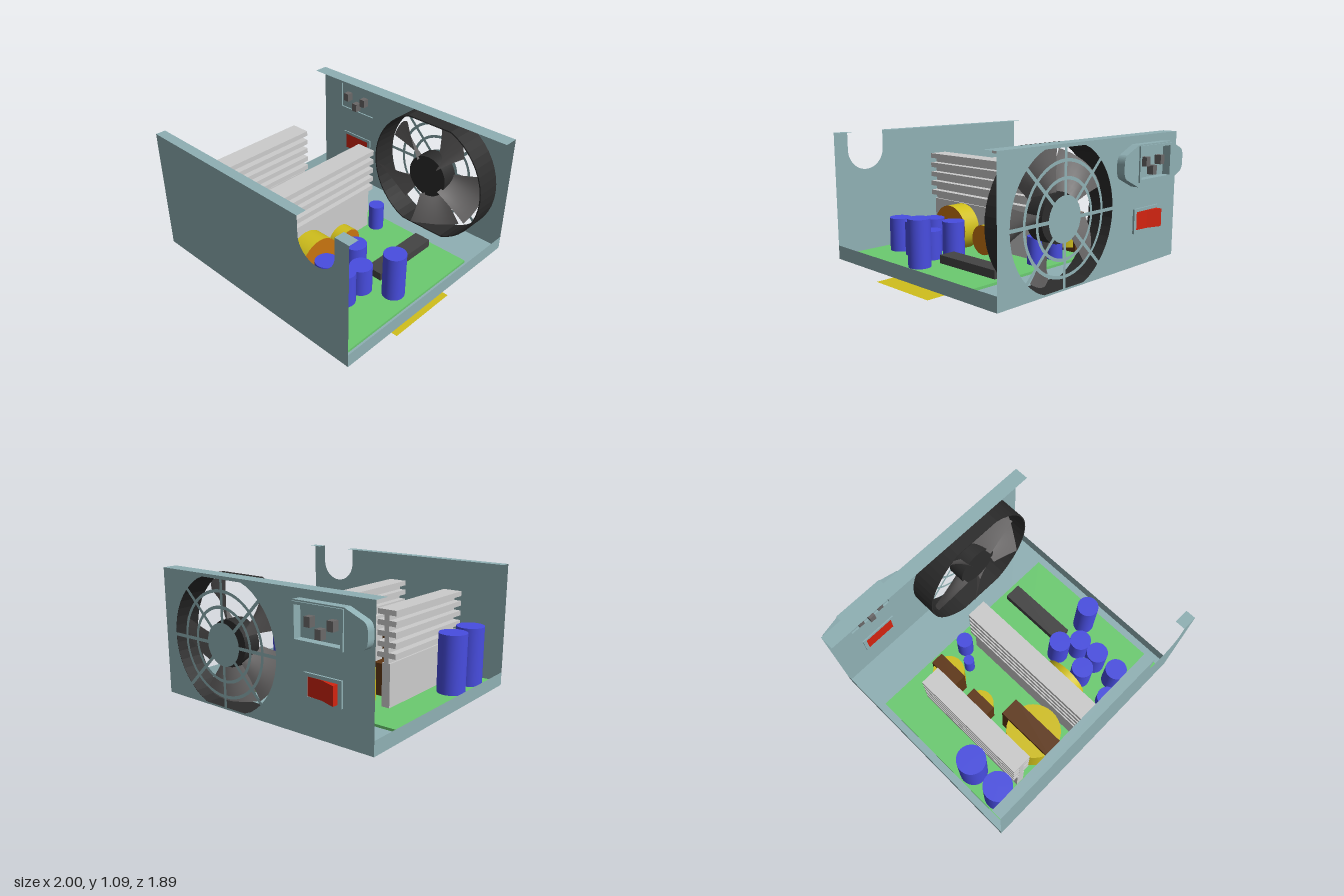
import * as THREE from 'three';

const mat = (color, side = THREE.FrontSide) => new THREE.MeshStandardMaterial({ color, side });
const RAD = Math.PI / 180;

export function createModel() {
  const model = new THREE.Group();
  const sheet = mat(0x8fb0b4, THREE.DoubleSide), green = mat(0x6bcb70), blue = mat(0x484de0);
  const yellow = mat(0xd0bf1c), orange = mat(0xc8740f), brown = mat(0x5e3614), red = mat(0xd42410);
  const black = mat(0x2c2c2c, THREE.DoubleSide), grey = mat(0x6a6868, THREE.DoubleSide);
  const dark = mat(0x444444), silver = mat(0xd9dbdc);

  const add = (name, geometry, material, parent = model) => {
    const mesh = new THREE.Mesh(geometry, material);
    mesh.name = name;
    parent.add(mesh);
    return mesh;
  };
  const group = (name) => {
    const g = new THREE.Group();
    g.name = name;
    model.add(g);
    return g;
  };
  // box from its limits
  const box = (name, x0, x1, y0, y1, z0, z1, m, parent) => {
    const b = add(name, new THREE.BoxGeometry(x1 - x0, y1 - y0, z1 - z0), m, parent);
    b.position.set((x0 + x1) / 2, (y0 + y1) / 2, (z0 + z1) / 2);
    return b;
  };
  // flat horizontal sheet
  const flat = (name, x0, x1, z0, z1, y, m, parent) => {
    const p = add(name, new THREE.PlaneGeometry(x1 - x0, z1 - z0).rotateX(-Math.PI / 2), m, parent);
    p.position.set((x0 + x1) / 2, y, (z0 + z1) / 2);
    return p;
  };
  const poly = (pts, Type = THREE.Shape) => new Type(pts.map((p) => new THREE.Vector2(...p)));
  const rect = (x0, x1, y0, y1) => [[x0, y0], [x1, y0], [x1, y1], [x0, y1]];
  const extrude = (shape, depth, z) =>
    new THREE.ExtrudeGeometry(shape, { depth, bevelEnabled: false, curveSegments: 12 }).translate(0, 0, z);

  // --- folded sheet case ---
  const Z0 = -0.87, Z1 = 0.94, Y0 = 0.08, Y1 = 1.09;
  const box0 = group('case');
  flat('floor', -1, 1, Z0, Z1, Y0, sheet, box0);
  for (const s of [-1, 1]) {
    const rim = add('sideRim', new THREE.PlaneGeometry(Z1 - Z0, 0.11).rotateY(s * Math.PI / 2), sheet, box0);
    rim.position.set(s, 0.135, (Z0 + Z1) / 2);
  }
  // front panel with the rounded cable notch
  const front = new THREE.Shape();
  front.moveTo(-1, Y0).lineTo(1, Y0).lineTo(1, Y1).lineTo(0.88, Y1).lineTo(0.88, 0.945);
  front.absarc(0.715, 0.945, 0.165, 0, Math.PI, true);
  front.lineTo(0.55, Y1).lineTo(-1, Y1);
  add('frontPanel', new THREE.ShapeGeometry(front, 20), sheet, box0).position.z = Z1;
  flat('frontFlange', -1, 0.55, 0.86, Z1, Y1, sheet, box0);
  flat('frontFlangeEnd', 0.88, 1, 0.86, Z1, Y1, sheet, box0);
  flat('backFlange', -1, 1, Z0, -0.75, Y1, sheet, box0);

  // circle with flats at top and bottom, shared by the fan opening and its frame
  const FX = 0.36, FY = 0.58;
  const flatCircle = (r, clip) => Array.from({ length: 48 }, (_, i) => {
    const a = i * 7.5 * RAD;
    return [FX + r * Math.cos(a), FY + THREE.MathUtils.clamp(r * Math.sin(a), -clip, clip)];
  });
  const back = poly(rect(-1, 1, Y0, Y1));
  back.holes.push(poly(flatCircle(0.53, 0.485), THREE.Path), poly(rect(-0.79, -0.41, 0.77, 1.0), THREE.Path));
  add('backPanel', new THREE.ShapeGeometry(back), sheet, box0).position.z = Z0;

  // --- fan guard ---
  const guard = group('fanGuard');
  guard.position.set(FX, FY, Z0);
  add('guardDisc', new THREE.CircleGeometry(0.165, 32), sheet, guard);
  for (const r of [0.28, 0.4])
    add('guardRing', new THREE.RingGeometry(r - 0.012, r + 0.012, 48), sheet, guard);
  for (let i = 0; i < 8; i++) {
    const len = i % 4 === 2 ? 0.345 : 0.39;
    const spoke = add('guardSpoke', new THREE.PlaneGeometry(len, 0.026).translate(0.15 + len / 2, 0, 0), sheet, guard);
    spoke.rotation.z = i * 45 * RAD;
  }

  // --- fan: frame, hub and five pitched blades ---
  const fan = group('fan');
  const frame = poly(flatCircle(0.54, 0.497));
  frame.holes.push(poly(flatCircle(0.53, 0.487), THREE.Path));
  add('fanFrame', extrude(frame, 0.215, -0.868), black, fan);
  const hub = add('fanHub', new THREE.CylinderGeometry(0.18, 0.18, 0.14, 32).rotateX(Math.PI / 2), black, fan);
  hub.position.set(FX, FY, -0.75);
  for (let i = 0; i < 5; i++) {
    const blade = new THREE.PlaneGeometry(1, 1, 10, 6), p = blade.attributes.position;
    for (let k = 0; k < p.count; k++) {
      const u = p.getX(k), v = p.getY(k) + 0.5, r = 0.16 + 0.33 * v;
      const a = (65 + 72 * i + u * (38 + 8 * v)) * RAD;
      const z = -0.72 - 0.17 * u - 0.04 * Math.sin((u + 0.5) * Math.PI);
      p.setXYZ(k, FX + r * Math.cos(a), FY + r * Math.sin(a), z);
    }
    blade.computeVertexNormals();
    add('fanBlade', blade, grey, fan);
  }

  // --- mains inlet: eared plate, raised rim, recess and three pins ---
  const inlet = group('mainsInlet');
  inlet.position.set(-0.6, 0.875, 0);
  const recess = rect(-0.19, 0.19, -0.105, 0.125);
  const ears = new THREE.Shape();
  ears.moveTo(-0.21, -0.16).lineTo(0.21, -0.16).lineTo(0.36, -0.09);
  ears.quadraticCurveTo(0.39, -0.07, 0.39, -0.02).lineTo(0.39, 0.02).quadraticCurveTo(0.39, 0.07, 0.36, 0.09);
  ears.lineTo(0.21, 0.155).lineTo(-0.21, 0.155).lineTo(-0.36, 0.09);
  ears.quadraticCurveTo(-0.39, 0.07, -0.39, 0.02).lineTo(-0.39, -0.02).quadraticCurveTo(-0.39, -0.07, -0.36, -0.09);
  ears.holes.push(poly(recess, THREE.Path));
  add('inletPlate', extrude(ears, 0.066, -0.938), sheet, inlet);
  const rim = poly(rect(-0.21, 0.21, -0.125, 0.145));
  rim.holes.push(poly(recess, THREE.Path));
  add('inletRim', extrude(rim, 0.02, -0.95), sheet, inlet);
  add('inletFloor', new THREE.PlaneGeometry(0.38, 0.23), sheet, inlet).position.set(0, 0.01, -0.885);
  for (const [x, y] of [[-0.1, 0.02], [0.09, 0.02], [0, -0.05]])
    box('inletPin', x - 0.025, x + 0.025, y - 0.035, y + 0.035, -0.94, -0.83, grey, inlet);

  // --- rocker switch ---
  const sw = group('powerSwitch');
  const bezel = poly(rect(-0.75, -0.43, 0.345, 0.535));
  bezel.holes.push(poly(rect(-0.72, -0.46, 0.37, 0.51), THREE.Path));
  add('switchBezel', extrude(bezel, 0.025, -0.885), sheet, sw);
  const rocker = poly([[-0.72, 0.86], [-0.46, 0.86], [-0.46, 0.88], [-0.59, 0.89], [-0.72, 0.935]]);
  add('rocker', extrude(rocker, 0.14, 0).rotateX(-Math.PI / 2).translate(0, 0.37, 0), red, sw);

  // --- circuit board and its parts ---
  const P = 0.12;
  box('circuitBoard', -0.935, 0.925, 0.1, P, -0.49, 0.905, green);
  box('chip', 0.465, 0.605, P, 0.185, -0.44, 0.16, dark);

  // capacitors: x, z, radius, top
  for (const [x, z, r, top] of [
    [-0.81, 0.44, 0.114, 0.6], [-0.81, 0.72, 0.114, 0.6], [-0.12, -0.36, 0.066, 0.335], [0.1, -0.36, 0.062, 0.335],
    [-0.21, -0.22, 0.043, 0.3], [0.405, 0.23, 0.087, 0.41], [0.765, 0.2, 0.087, 0.49], [0.555, 0.33, 0.087, 0.345],
    [0.375, 0.51, 0.087, 0.39], [0.555, 0.51, 0.087, 0.39], [0.555, 0.715, 0.087, 0.39], [0.37, 0.81, 0.087, 0.27],
  ]) add('capacitor', new THREE.CylinderGeometry(r, r, top - P, 28), blue).position.set(x, (P + top) / 2, z);

  // heat sinks: thick foot, thin core, stacked fins
  for (const [x, z0, z1] of [[-0.61, -0.18, 0.765], [0.005, -0.32, 0.89]]) {
    const h = group('heatSink');
    box('heatSinkFoot', x - 0.035, x + 0.035, P, 0.46, z0, z1, silver, h);
    box('heatSinkCore', x - 0.02, x + 0.02, 0.46, 0.83, z0, z1, silver, h);
    for (let i = 0; i < 5; i++)
      box('heatSinkFin', x - 0.08, x + 0.08, 0.5 + i * 0.08, 0.54 + i * 0.08, z0, z1, silver, h);
  }

  // transformers: flat yellow winding crossed by a brown core
  for (const [x, z, r, w, d, top] of [
    [-0.41, -0.24, 0.127, 0.105, 0.27, 0.44], [-0.41, 0.12, 0.107, 0.085, 0.225, 0.38], [-0.298, 0.6, 0.213, 0.155, 0.53, 0.5],
  ]) {
    const t = group('transformer');
    add('winding', new THREE.CylinderGeometry(r, r, top - P - 0.08, 32), yellow, t).position.set(x, (P + top) / 2, z);
    box('transformerCore', x - w / 2, x + w / 2, P, top, z - d / 2, z + d / 2, brown, t);
  }

  // upright coils: yellow rim with orange faces
  for (const [x, z, r, w] of [[0.165, 0.1, 0.121, 0.1], [0.175, 0.455, 0.188, 0.15]]) {
    const coil = add('coil', new THREE.CylinderGeometry(r, r, w, 32).rotateZ(Math.PI / 2), [yellow, orange, orange]);
    coil.position.set(x, P + r - 0.02 + (r > 0.15 ? 0 : 0.02), z);
  }

  // rating label under the case
  flat('label', 0.02, 1, -0.18, 0.43, 0, mat(0xd0bf1c, THREE.DoubleSide));
  return model;
}
